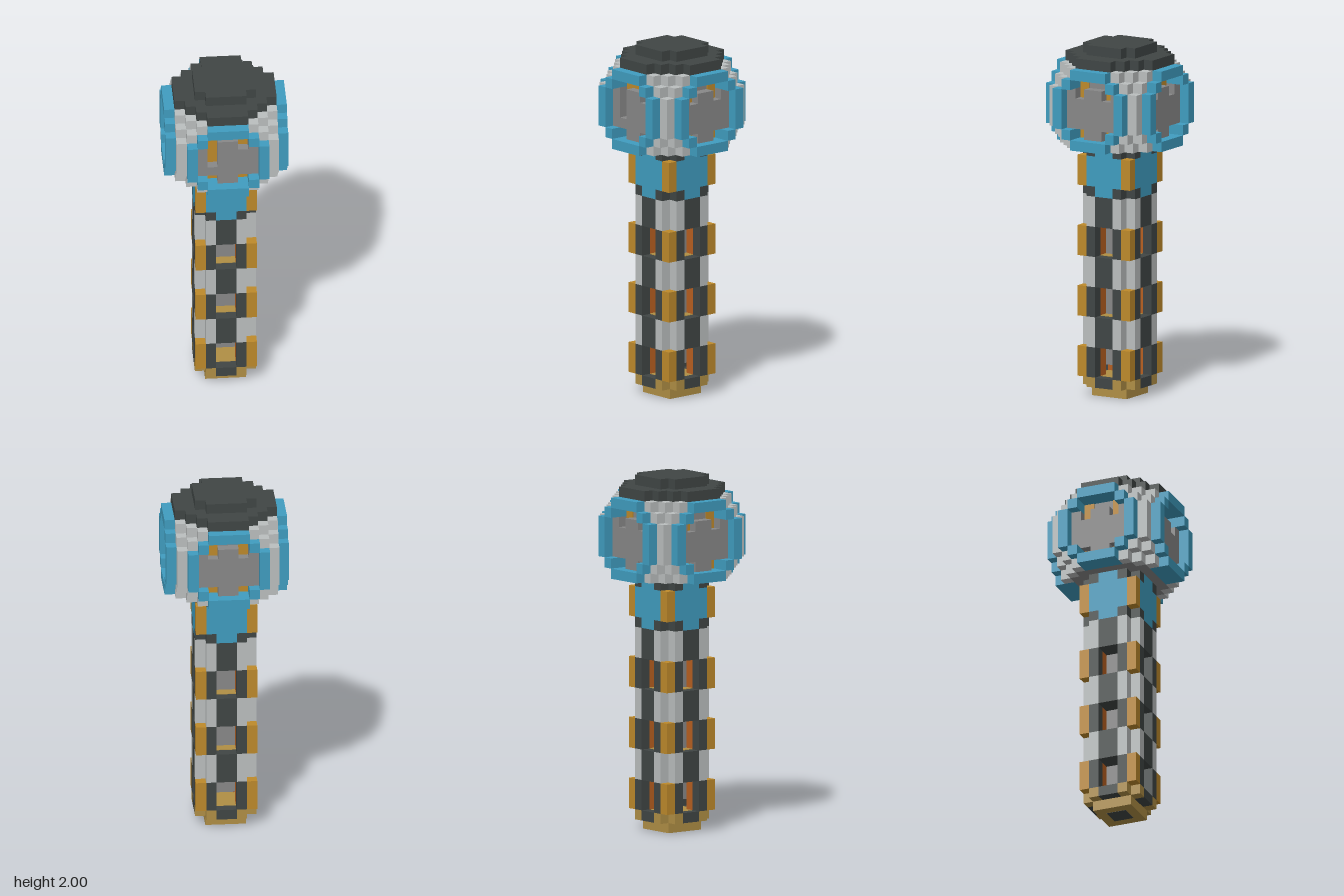
import * as THREE from 'three';

const U = 2 / 35; // one block
const mat = (name, color) => {
  const m = new THREE.MeshStandardMaterial({ color });
  m.name = name;
  return m;
};

export function createModel() {
  const model = new THREE.Group();
  model.name = 'blockScepter';
  const blue = mat('blue', 0x409dc0), light = mat('lightGray', 0xbbbfbf), dark = mat('charcoal', 0x404645);
  const gray = mat('midGray', 0x888888), gold = mat('gold', 0xbe8a2b), tan = mat('brass', 0xb08f45);
  const orange = mat('orange', 0xb86020);

  // Box between block coordinates
  function box(parent, name, m, x0, x1, y0, y1, z0, z1) {
    const mesh = new THREE.Mesh(new THREE.BoxGeometry((x1 - x0) * U, (y1 - y0) * U, (z1 - z0) * U), m);
    mesh.position.set((x0 + x1) * U / 2, (y0 + y1) * U / 2, (z0 + z1) * U / 2);
    mesh.name = name;
    parent.add(mesh);
  }
  // Centred box
  const slab = (p, name, m, hx, hz, y0, y1) => box(p, name, m, -hx, hx, y0, y1, -hz, hz);
  // Pair of boxes mirrored in x
  function pair(p, name, m, x0, x1, y0, y1, z0, z1) {
    box(p, name, m, x0, x1, y0, y1, z0, z1);
    box(p, name, m, -x1, -x0, y0, y1, z0, z1);
  }
  // Same part on all four sides
  function fourSides(name, build) {
    const set = new THREE.Group();
    set.name = name;
    for (let i = 0; i < 4; i++) {
      const side = new THREE.Group();
      side.name = name + 'Side';
      side.rotation.y = i * Math.PI / 2;
      build(side, i);
      set.add(side);
    }
    model.add(set);
  }

  // Foot
  slab(model, 'foot', tan, 2, 2, 0, 1);
  slab(model, 'footPlug', dark, 1, 1, -0.02, 0.05);
  slab(model, 'footCore', tan, 2, 2, 1, 2);
  fourSides('footRim', s => {
    pair(s, 'rimBlock', tan, 1, 2, 1, 2, 2, 3);
    box(s, 'rimCentre', dark, -1, 1, 1, 2, 2, 3);
  });

  // Shaft: open windowed sections alternating with solid ones
  for (const y of [2, 8, 14]) {
    slab(model, 'innerRod', gray, 1, 1, y === 2 ? 3 : y, y + 3);
    slab(model, 'solidCore', dark, 2, 2, y + 3, y + 6);
    if (y > 2) slab(model, 'windowFloor', tan, 2, 2, y, y + 0.05);
    fourSides('shaftSection', s => {
      box(s, 'cornerPost', gold, 2, 3, y, y + 3, 2, 3);
      box(s, 'innerPost', orange, 1, 2, y, y + 3, 1, 2);
      pair(s, 'windowFrame', dark, 1, 2, y, y + 3, 2, 3);
      pair(s, 'lightRib', light, 1, 2, y + 3, y + 6, 2, 3);
      box(s, 'darkPanel', dark, -1, 1, y + 3, y + 6, 2, 3);
    });
  }

  // Collar below the head
  slab(model, 'collarCore', blue, 2, 2, 20, 25);
  fourSides('collar', s => {
    box(s, 'collarStrip', blue, -1, 1, 20, 25, 2, 3);
    pair(s, 'collarWing', blue, 1, 2, 21, 24, 2, 3);
    box(s, 'collarPost', gold, 2, 3, 21, 24, 2, 3);
    for (const y of [20, 24]) pair(s, 'collarNotch', dark, 1, 2, y, y + 1, 2, 3);
  });

  // Head core
  slab(model, 'headCore', gray, 4, 4, 26, 32);
  for (const y of [25, 32]) {
    slab(model, 'headPlate', gray, 4, 3, y, y + 1);
    slab(model, 'headPlate', gray, 3, 4, y, y + 1);
  }

  // Octagonal window on each side of the head
  fourSides('headWindow', (s, i) => {
    for (const y of [25, 32]) box(s, 'ringBar', blue, -2, 2, y, y + 1, 4, 6);
    for (const y of [26, 31]) pair(s, 'ringCorner', blue, 2, 3, y, y + 1, 4, 6);
    pair(s, 'ringPost', blue, 3, 4, 27, 31, 4, 6);
    // Raised panel, with gold showing in its notches
    box(s, 'panelCentre', gray, -1, 1, 26, 31, 4, 5);
    pair(s, 'panelEdge', gray, 2, 3, 27, 31, 4, 5);
    box(s, 'panelRight', gray, 1, 2, 27, 30, 4, 5);
    box(s, 'panelLeft', gray, -2, -1, 27, i === 0 ? 28 : 30, 4, 5);
    pair(s, 'goldTop', gold, 1, 2, 30, 32, 4, 4.1);
    pair(s, 'goldBottom', gold, 1, 2, 26, 27, 4, 4.1);
    if (i === 0) {
      box(s, 'goldBar', gold, -1, 1, 31, 32, 4, 4.1);
      box(s, 'goldStrip', gold, -2, -1, 28, 30, 4, 4.1);
    }
  });

  // Stepped light corners between the windows
  fourSides('headCorner', s => {
    box(s, 'cornerColumn', light, 4, 5, 27, 31, 4, 5);
    for (const y of [26, 31]) pair(s, 'cornerStep', light, 3, 4, y, y + 1, 4, 5);
    for (const y of [25, 32]) {
      pair(s, 'cornerStep', light, 2, 3, y, y + 1, 4, 5);
      box(s, 'cornerFill', light, 3, 4, y, y + 1, 3, 4);
    }
  });

  // Cap: overlapping strips make the stepped discs
  const cap = new THREE.Group();
  cap.name = 'cap';
  for (const [hx, hz] of [[5, 2], [4, 3], [3, 4], [2, 5]]) slab(cap, 'capLower', dark, hx, hz, 33, 34);
  for (const [hx, hz] of [[3, 2], [2, 3]]) slab(cap, 'capUpper', dark, hx, hz, 34, 35);
  model.add(cap);

  return model;
}
